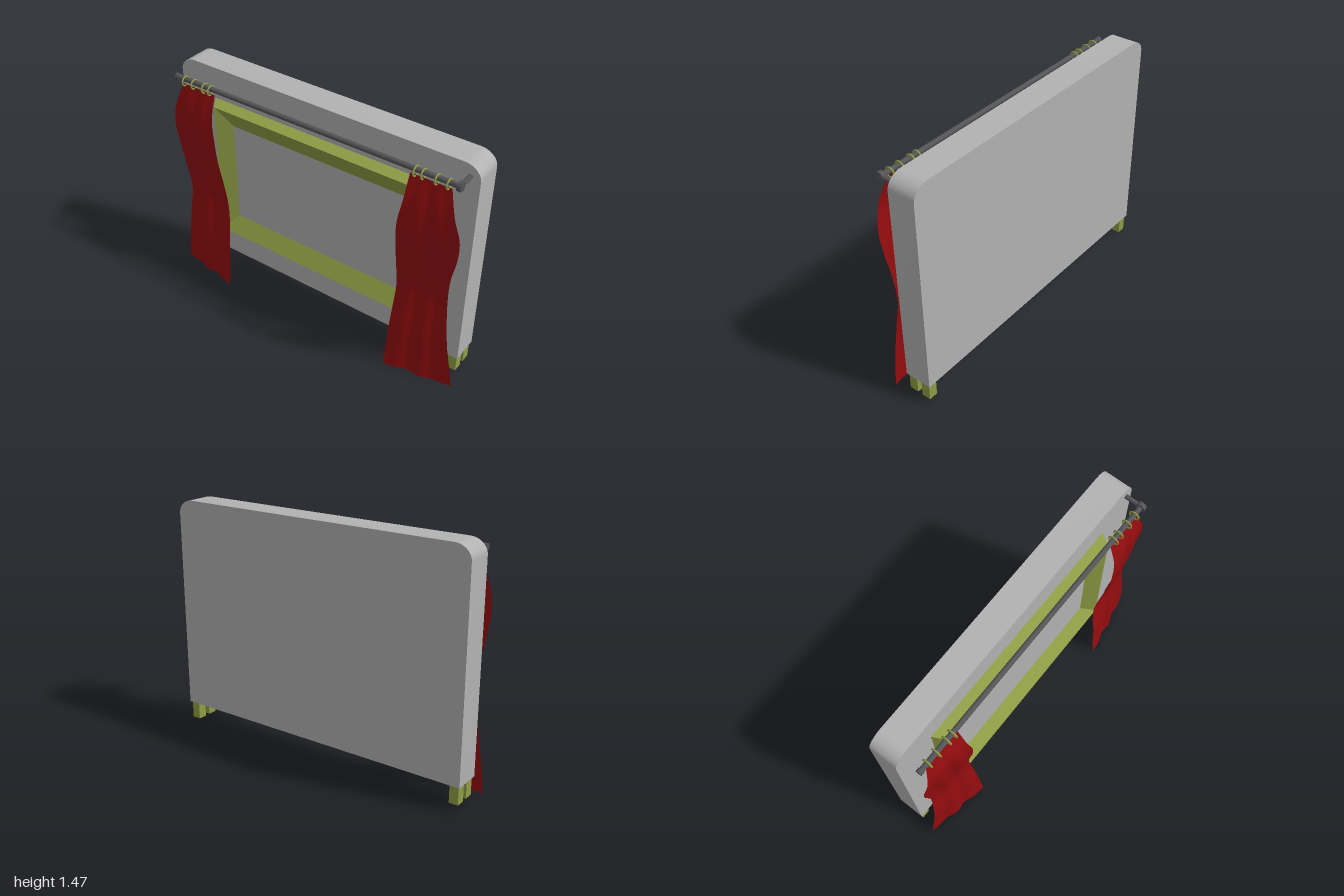
import * as THREE from 'three';
import { toCreasedNormals } from 'three/addons/utils/BufferGeometryUtils.js';

const material = (name, color, side = THREE.FrontSide) => {
  const m = new THREE.MeshStandardMaterial({ color, side });
  m.name = name;
  return m;
};

// Wall slab with rounded upper corners, extruded along x
function slabGeometry() {
  const w = 0.983, y0 = 0.145, y1 = 1.468, rz = 0.1, ry = 0.085;
  const s = new THREE.Shape();
  s.moveTo(-w, y0);
  s.lineTo(w, y0);
  s.lineTo(w, y1 - ry);
  s.bezierCurveTo(w, y1 - ry * 0.45, w - rz * 0.45, y1, w - rz, y1);
  s.lineTo(-w + rz, y1);
  s.bezierCurveTo(-w + rz * 0.45, y1, -w, y1 - ry * 0.45, -w, y1 - ry);
  const g = new THREE.ExtrudeGeometry(s, { depth: 0.17, bevelEnabled: false, curveSegments: 10 });
  return toCreasedNormals(g.rotateY(Math.PI / 2), 0.5);
}

// Window frame: rectangular rings joined into an outer and an inner slope
function frameGeometry() {
  const rings = [
    [0, 0.735, 0.34, 1.27],
    [-0.065, 0.697, 0.362, 1.25],
    [0, 0.61, 0.46, 1.12],
  ].map(([x, w, y0, y1]) => [[x, y0, -w], [x, y0, w], [x, y1, w], [x, y1, -w]]);
  const pos = [];
  for (let k = 0; k < 2; k++) {
    for (let i = 0; i < 4; i++) {
      const j = (i + 1) % 4;
      const a = rings[k][i], b = rings[k][j], c = rings[k + 1][j], d = rings[k + 1][i];
      pos.push(...a, ...b, ...c, ...a, ...c, ...d);
    }
  }
  const g = new THREE.BufferGeometry();
  g.setAttribute('position', new THREE.Float32BufferAttribute(pos, 3));
  g.computeVertexNormals();
  return g;
}

// Curtain: cloth spanned between two wavy edge curves, with soft folds
function curtainGeometry(sign) {
  const rows = [ // height, inner x, inner z, outer x, outer z
    [1.365, -0.105, 0.645, -0.105, 0.885],
    [1.22, -0.150, 0.640, -0.135, 0.930],
    [1.08, -0.164, 0.620, -0.122, 0.965],
    [0.95, -0.155, 0.615, -0.108, 0.960],
    [0.78, -0.125, 0.610, -0.100, 0.930],
    [0.60, -0.098, 0.608, -0.082, 0.920],
    [0.45, -0.107, 0.600, -0.090, 0.935],
    [0.30, -0.130, 0.595, -0.095, 0.955],
    [0.15, -0.142, 0.590, -0.090, 0.980],
    [0.005, -0.160, 0.590, -0.082, 1.000],
  ];
  const inner = new THREE.CatmullRomCurve3(rows.map(r => new THREE.Vector3(r[1], r[0], r[2])));
  const outer = new THREE.CatmullRomCurve3(rows.map(r => new THREE.Vector3(r[3], r[0], r[4])));
  const nu = 28, nv = 54;
  const g = new THREE.PlaneGeometry(1, 1, nu, nv);
  const p = g.attributes.position, v = new THREE.Vector3();
  for (let j = 0; j <= nv; j++) {
    const t = j / nv, a = inner.getPoint(t), b = outer.getPoint(t);
    for (let i = 0; i <= nu; i++) {
      const u = i / nu;
      v.lerpVectors(a, b, u);
      const fold = Math.sin(u * Math.PI * 5 + t * 2.5) * Math.sin(u * Math.PI);
      v.x += 0.009 * fold * Math.min(1, t * 6);
      v.y += 0.006 * Math.sin(u * Math.PI * 2) * t * Math.sin(u * Math.PI);
      p.setXYZ(j * (nu + 1) + i, v.x, v.y, v.z * sign);
    }
  }
  g.computeVertexNormals();
  return g;
}

export function createModel() {
  const model = new THREE.Group();
  model.name = 'curtainedWindowWall';
  const grey = material('wallGrey', 0xb2b2b2);
  const green = material('oliveGreen', 0x8f9d45);
  const dark = material('rodGrey', 0x545457);
  const red = material('curtainRed', 0x930c0e, THREE.DoubleSide);

  const add = (name, geometry, mat, x = 0, y = 0, z = 0) => {
    const m = new THREE.Mesh(geometry, mat);
    m.name = name;
    m.position.set(x, y, z);
    model.add(m);
    return m;
  };

  add('wallSlab', slabGeometry(), grey);
  add('windowFrame', frameGeometry(), green);

  // Paired feet under each end
  const foot = new THREE.BoxGeometry(0.057, 0.112, 0.056);
  for (const z of [-0.946, 0.946])
    for (const x of [0.04, 0.13]) add('foot', foot, green, x, 0.09, z);

  // Rod with end knobs and one wall bracket
  const rodX = -0.102, rodY = 1.396;
  const alongZ = (r, l) => new THREE.CylinderGeometry(r, r, l, 20).rotateX(Math.PI / 2);
  add('curtainRod', alongZ(0.015, 1.85), dark, rodX, rodY, -0.005);
  add('rodKnob', alongZ(0.028, 0.024), dark, rodX, rodY, 0.926);
  add('rodEndCap', alongZ(0.019, 0.024), dark, rodX, rodY, -0.92);
  add('rodBracket', new THREE.CylinderGeometry(0.013, 0.013, 0.105, 16).rotateZ(Math.PI / 2),
    dark, -0.05, 1.398, 0.926);

  // Curtains and the rings that carry them
  const ring = new THREE.TorusGeometry(0.028, 0.005, 8, 24);
  for (const side of [-1, 1]) {
    add(side > 0 ? 'frontCurtain' : 'backCurtain', curtainGeometry(side), red);
    for (const z of [0.675, 0.72, 0.798, 0.865]) add('curtainRing', ring, green, rodX, 1.384, z * side);
  }
  return model;
}
